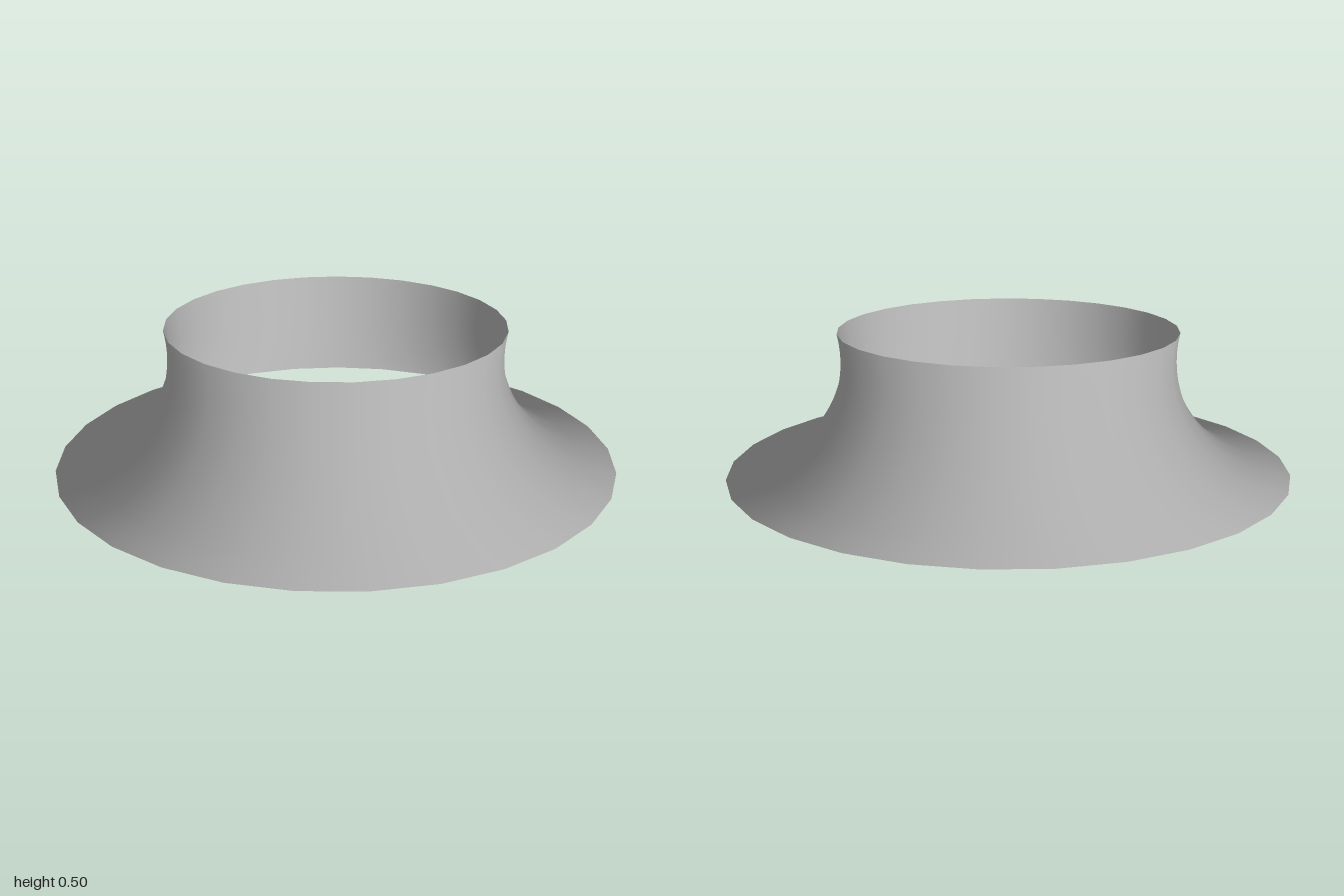
import * as THREE from 'three';

export function createModel() {
  const group = new THREE.Group();
  const sides = 29;
  const rim = 1.0015; // outer radius at the foot
  const arc = 0.41; // radius of the flare's circular profile
  const height = 0.5;

  // Open tube whose rings are widened along a concave arc; it keeps the tube's
  // horizontal normals, so the shading runs evenly from neck to foot
  const geometry = new THREE.CylinderGeometry(1, 1, height, sides, 24, true, Math.PI / 2);
  geometry.translate(0, height / 2, 0);
  const position = geometry.attributes.position;
  for (let i = 0; i < position.count; i++) {
    const y = Math.max(0, position.getY(i));
    const radius = rim - Math.sqrt(arc ** 2 - (arc - y) ** 2);
    position.setXYZ(i, position.getX(i) * radius, y, position.getZ(i) * radius);
  }

  // Thin flared collar with one corner on +x
  const material = new THREE.MeshStandardMaterial({ color: 0xcccccc, side: THREE.DoubleSide });
  const collar = new THREE.Mesh(geometry, material);
  collar.name = 'flaredCollar';
  // Odd side count: recentre between the corner and the opposite flat
  collar.position.x = -rim * (1 - Math.cos(Math.PI / sides)) / 2;
  group.add(collar);
  return group;
}
